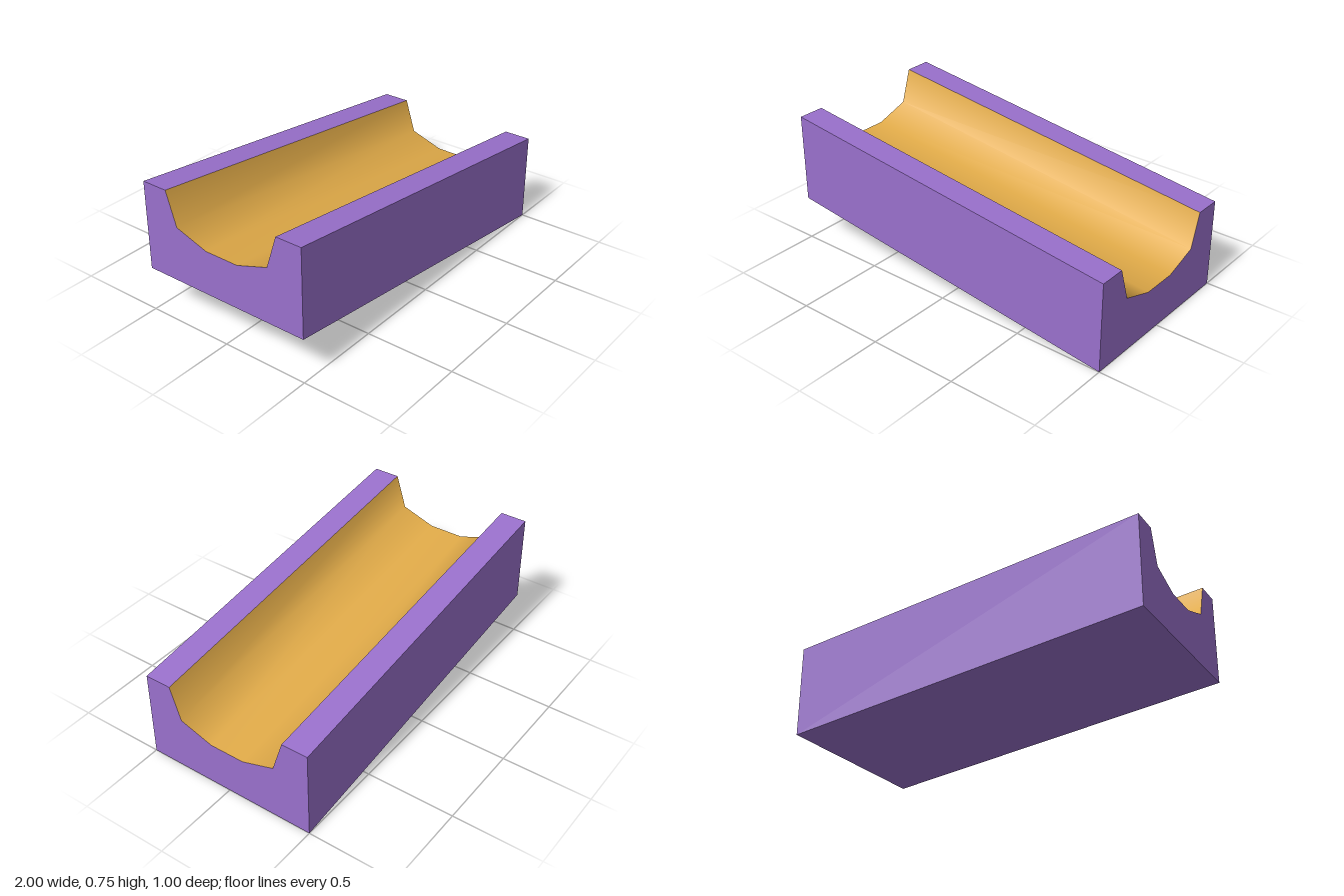
import * as THREE from 'three';

const HALF = 1;      // half length along x
const DROP = 0.125;  // fall per unit of x

// Cross-section as [z, y] at the low end
const groove = [[-0.35, 0.5], [-0.29, 0.313], [-0.1, 0.25], [0.1, 0.25], [0.29, 0.313], [0.35, 0.5]];
const outside = [[0.35, 0.5], [0.5, 0.5], [0.5, 0], [-0.5, 0], [-0.5, 0.5], [-0.35, 0.5]];

// Sweep an open [z, y] profile along the sloping length
function sweep(points) {
  const geo = new THREE.PlaneGeometry(2 * HALF, 1, 1, points.length - 1);
  const pos = geo.attributes.position;
  for (let i = 0; i < pos.count; i++) {
    const [z, y] = points[Math.floor(i / 2)];
    const x = pos.getX(i);
    pos.setXYZ(i, x, y + (HALF - x) * DROP, z);
  }
  return geo;
}

export function createModel() {
  const group = new THREE.Group();
  group.name = 'slopedTrough';
  const purple = new THREE.MeshStandardMaterial({ name: 'purple', color: 0x9970cc });
  const amber = new THREE.MeshStandardMaterial({ name: 'amber', color: 0xe0aa48 });

  const add = (name, geo, mat) => {
    const mesh = new THREE.Mesh(geo, mat);
    mesh.name = name;
    group.add(mesh);
  };

  // Rims, side walls and underside, with hard edges
  const shell = sweep(outside).toNonIndexed();
  shell.computeVertexNormals();
  add('outerBlock', shell, purple);

  // Smoothly shaded channel
  const channel = sweep(groove);
  channel.computeVertexNormals();
  add('channel', channel, amber);

  // Upright end faces (the section is symmetric in z)
  const outline = [...groove, ...outside.slice(1, -1)].map(([z, y]) => new THREE.Vector2(z, y));
  for (const side of [-1, 1]) {
    const end = new THREE.ShapeGeometry(new THREE.Shape(outline));
    end.rotateY(side * Math.PI / 2);
    end.translate(side * HALF, (HALF - side * HALF) * DROP, 0);
    add(side > 0 ? 'lowEnd' : 'highEnd', end, purple);
  }
  return group;
}
